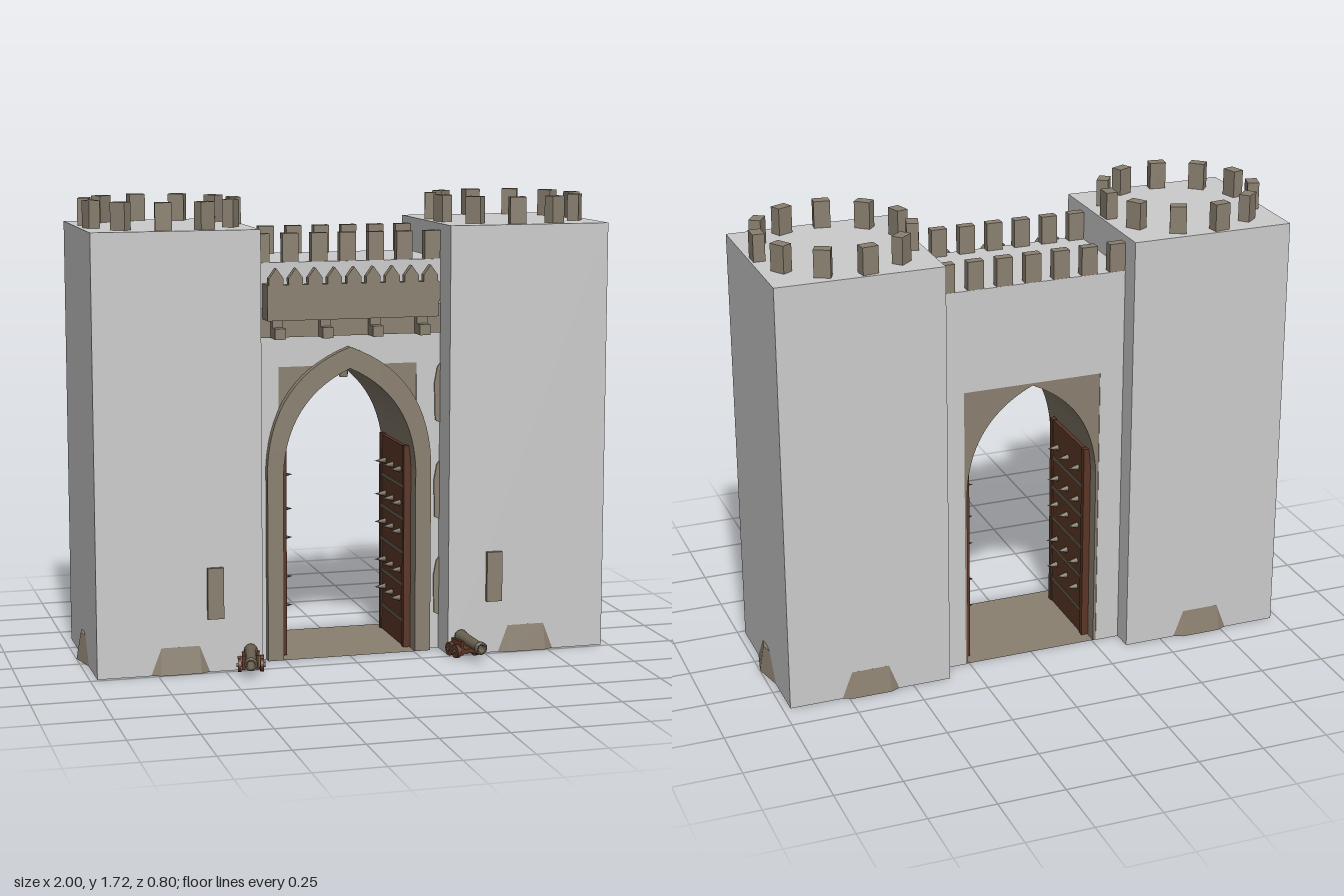
import * as THREE from 'three';

const mat = (name, color, side = THREE.FrontSide) => {
  const m = new THREE.MeshStandardMaterial({ color, side });
  m.name = name;
  return m;
};

export function createModel() {
  const root = new THREE.Group();
  root.name = 'castleGate';
  const plaster = mat('pale grey', 0xcccccc);
  const stone = mat('stone', 0x8a8070);
  const wood = mat('dark wood', 0x5a3626);
  const iron = mat('iron', 0x68604f);

  const add = (parent, name, geo, m, x = 0, y = 0, z = 0) => {
    const mesh = new THREE.Mesh(geo, m);
    mesh.name = name;
    mesh.position.set(x, y, z);
    parent.add(mesh);
    return mesh;
  };
  // box given by its minimum and maximum corners
  const box = (parent, name, m, [x0, y0, z0], [x1, y1, z1]) =>
    add(parent, name, new THREE.BoxGeometry(x1 - x0, y1 - y0, z1 - z0), m, (x0 + x1) / 2, (y0 + y1) / 2, (z0 + z1) / 2);
  const extrude = (shape, depth) =>
    new THREE.ExtrudeGeometry(shape, { depth, bevelEnabled: false, curveSegments: 14 });
  const outline = pts => new THREE.Shape(pts.map(p => new THREE.Vector2(...p)));

  // pointed arch outline
  const arch = (path, w, spring, cx, cy, peak) => {
    path.moveTo(-w, 0);
    path.lineTo(w, 0);
    path.lineTo(w, spring);
    path.quadraticCurveTo(cx, cy, 0, peak);
    path.quadraticCurveTo(-cx, cy, -w, spring);
    path.lineTo(-w, 0);
    return path;
  };
  const opening = path => arch(path, 0.255, 0.7, 0.245, 0.98, 1.09);

  const zc = -0.075;
  const BACK = -0.305, FRONT = 0.115;

  // towers
  for (const s of [-1, 1]) {
    const tower = new THREE.Group();
    tower.name = s > 0 ? 'leftTower' : 'rightTower';
    tower.position.set(s * 0.665, 0, zc);
    root.add(tower);
    box(tower, 'towerBody', plaster, [-0.3075, 0, -0.31], [0.3075, 1.615, 0.31]);

    // flared fourteen-sided foot showing through the walls
    const skirt = new THREE.CylinderGeometry(0.318, 0.335, 0.1, 14, 1).rotateY(Math.PI / 2);
    add(tower, 'towerFoot', skirt.toNonIndexed(), stone, 0, 0.051, 0).geometry.computeVertexNormals();
    const collar = new THREE.CylinderGeometry(0.296, 0.318, 0.02, 14, 1).rotateY(Math.PI / 2);
    add(tower, 'towerFootCollar', collar.toNonIndexed(), stone, 0, 0.111, 0).geometry.computeVertexNormals();

    // ring of merlons
    for (let i = 0; i < 11; i++) {
      const a = (i / 11) * Math.PI * 2;
      const m = add(tower, 'towerMerlon', new THREE.BoxGeometry(0.043, 0.1, 0.06), stone,
        Math.cos(a) * 0.277, 1.665, Math.sin(a) * 0.277);
      m.rotation.y = -a;
    }
    const wx = s * 0.535 - s * 0.665;
    box(tower, 'arrowSlit', stone, [wx - 0.03, 0.2, 0.3], [wx + 0.03, 0.39, 0.326]);
  }

  // gate wall: stone core with the arched passage
  const core = outline([[-0.356, 0], [0.356, 0], [0.356, 1.48], [-0.356, 1.48]]);
  core.holes.push(opening(new THREE.Path()));
  add(root, 'gateWallCore', extrude(core, FRONT - BACK - 0.006), stone, 0, 0, BACK + 0.003);

  // pale facing with a square-headed gap around the arch
  box(root, 'wallFacingTop', plaster, [-0.356, 1.1, BACK], [0.356, 1.485, FRONT]);
  for (const s of [-1, 1])
    box(root, 'wallFacingSide', plaster, [s > 0 ? 0.265 : -0.356, 0, BACK], [s > 0 ? 0.356 : -0.265, 1.1, FRONT]);

  // raised arch surround
  const trim = arch(new THREE.Shape(), 0.315, 0.73, 0.3, 1.06, 1.17);
  trim.holes.push(opening(new THREE.Path()));
  add(root, 'archSurround', extrude(trim, 0.035), stone, 0, 0, FRONT - 0.005);
  add(root, 'archBoss', new THREE.CylinderGeometry(0.02, 0.016, 0.045, 8), stone, 0, 1.07, 0.05);

  // wall merlons, front and rear
  for (let i = -3; i <= 3; i++)
    for (const z of [BACK + 0.018, FRONT - 0.02])
      add(root, 'wallMerlon', new THREE.BoxGeometry(0.06, 0.105, 0.035), stone, i * 0.1085, 1.5375, z);

  // corner stones beside the towers
  for (const s of [-1, 1])
    for (const y of [0.13, 0.5, 0.87]) {
      const pts = [[0.356, y], [0.338, y + 0.01], [0.334, y + 0.15], [0.345, y + 0.21], [0.356, y + 0.225]];
      const q = outline(pts.map(([x, v]) => [x * s, v]));
      add(root, 'cornerStone', extrude(q, 0.006), stone, 0, 0, FRONT);
    }

  // projecting gallery above the gate
  const gallery = new THREE.Group();
  gallery.name = 'gallery';
  root.add(gallery);
  box(gallery, 'galleryBand', stone, [-0.355, 1.21, FRONT - 0.01], [0.355, 1.32, FRONT + 0.006]);
  box(gallery, 'galleryFloor', stone, [-0.325, 1.28, FRONT], [0.325, 1.31, 0.175]);
  box(gallery, 'galleryParapet', stone, [-0.325, 1.28, 0.17], [0.325, 1.41, 0.2]);
  for (const s of [-1, 1])
    box(gallery, 'galleryEnd', stone, [s * 0.3125 - 0.0125, 1.28, FRONT], [s * 0.3125 + 0.0125, 1.41, 0.175]);
  const point = outline([[-0.027, 0], [0.027, 0], [0.027, 0.025], [0, 0.062], [-0.027, 0.025]]);
  for (let i = -4; i <= 4; i++)
    add(gallery, 'pointedMerlon', extrude(point, 0.03), stone, i * 0.073, 1.409, 0.17);
  for (const x of [-0.275, -0.095, 0.095, 0.275])
    box(gallery, 'galleryBracket', stone, [x - 0.02, 1.21, FRONT], [x + 0.02, 1.25, 0.19]);
  for (const x of [-0.275, -0.095, 0.095, 0.275])
    box(gallery, 'bracketCap', stone, [x - 0.02, 1.25, FRONT], [x + 0.02, 1.281, 0.15]);

  // open doors with bands and spikes
  for (const s of [-1, 1]) {
    const door = new THREE.Group();
    door.name = s > 0 ? 'leftDoor' : 'rightDoor';
    door.position.set(s * 0.244, 0, -0.085);
    root.add(door);
    box(door, 'doorPanel', wood, [-0.011, 0.002, -0.165], [0.011, 0.775, 0.165]);
    for (const z of [-0.155, 0.155])
      box(door, 'doorStile', wood, [-0.016, 0.002, z - 0.012], [0.016, 0.78, z + 0.012]);
    for (const y of [0.1, 0.24, 0.365, 0.495, 0.62])
      box(door, 'doorBand', iron, [-0.0145, y - 0.007, -0.16], [0.0145, y + 0.007, 0.16]);
    for (const y of [0.18, 0.29, 0.44, 0.55, 0.68])
      for (const z of [-0.1, 0, 0.1]) {
        const spike = add(door, 'doorSpike', new THREE.ConeGeometry(0.013, 0.045, 8), iron, -s * 0.032, y, z);
        spike.rotation.z = s * Math.PI / 2;
      }
  }

  // cannons guarding the gate
  const barrelProfile = [[0, -0.085], [0.018, -0.083], [0.025, -0.07], [0.025, -0.06], [0.022, -0.055],
    [0.019, 0.065], [0.024, 0.07], [0.024, 0.085], [0.014, 0.085], [0.013, 0.03], [0, 0.03]]
    .map(p => new THREE.Vector2(...p));
  for (const s of [-1, 1]) {
    const cannon = new THREE.Group();
    cannon.name = s > 0 ? 'leftCannon' : 'rightCannon';
    cannon.position.set(s * 0.41, 0, 0.265);
    cannon.rotation.y = s * 0.22;
    root.add(cannon);
    const barrel = add(cannon, 'cannonBarrel', new THREE.LatheGeometry(barrelProfile, 12), iron, 0, 0.067, 0.045);
    barrel.rotation.x = Math.PI / 2 + 0.1;
    for (const t of [-1, 1]) {
      box(cannon, 'carriageCheek', wood, [t * 0.026 - 0.006, 0.015, -0.05], [t * 0.026 + 0.006, 0.068, 0.035]);
      for (const z of [-0.03, 0.015]) {
        const wheel = add(cannon, 'cannonWheel', new THREE.CylinderGeometry(0.026, 0.026, 0.014, 12), wood, t * 0.041, 0.028, z);
        wheel.rotation.z = Math.PI / 2;
        const hub = add(cannon, 'wheelHub', new THREE.CylinderGeometry(0.008, 0.008, 0.02, 8), iron, t * 0.043, 0.028, z);
        hub.rotation.z = Math.PI / 2;
      }
    }
    box(cannon, 'carriageBed', wood, [-0.026, 0.02, -0.05], [0.026, 0.036, 0.035]);
  }
  return root;
}
